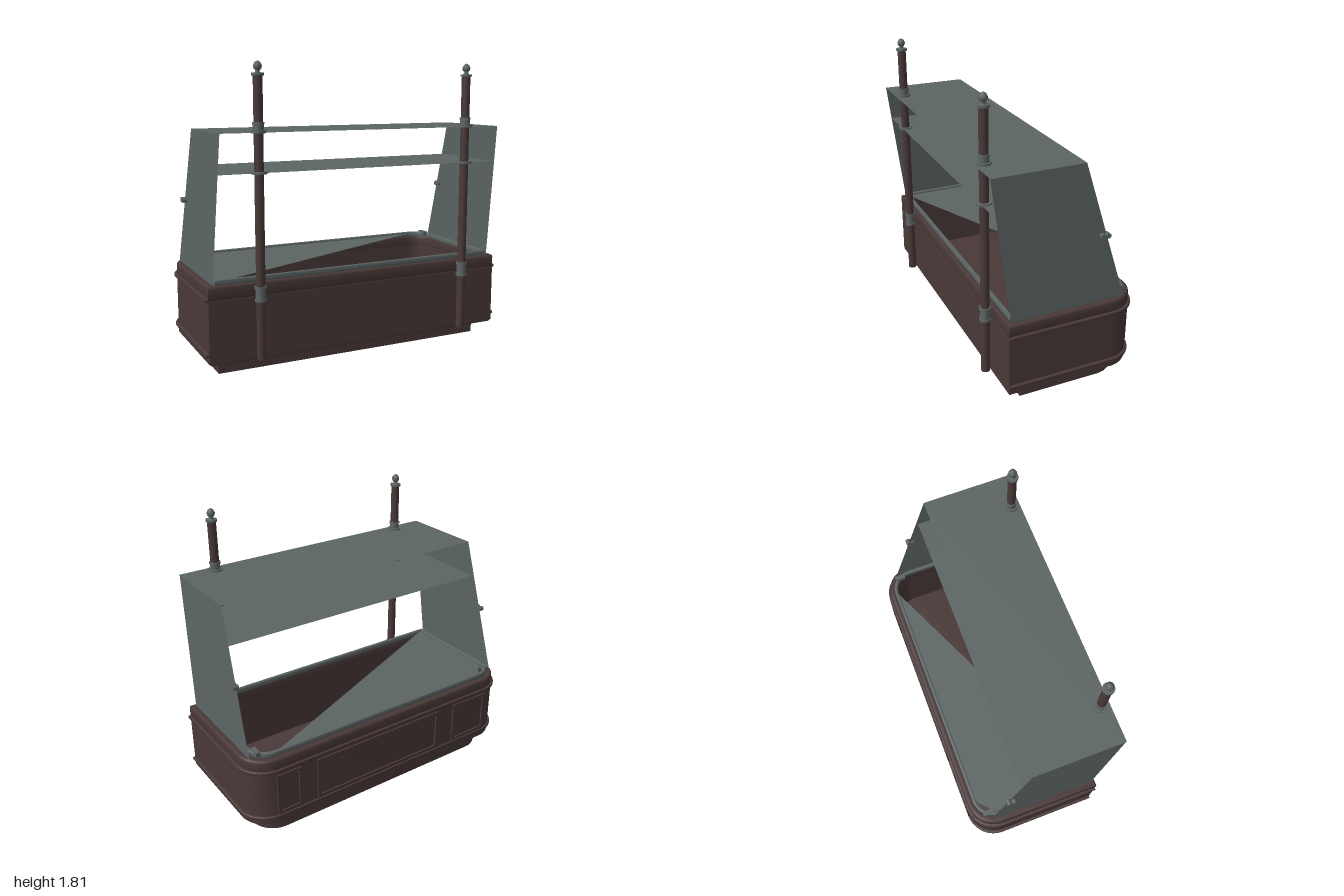
import * as THREE from 'three';
import { toCreasedNormals } from 'three/addons/utils/BufferGeometryUtils.js';

export function createModel() {
  const model = new THREE.Group();
  const brown = new THREE.MeshStandardMaterial({ name: 'dark brown wood', color: 0x493938 });
  const grey = new THREE.MeshStandardMaterial({ name: 'grey metal', color: 0x5c6564, side: THREE.DoubleSide });

  const add = (name, geo, mat, x = 0, y = 0, z = 0) => {
    const m = new THREE.Mesh(geo, mat);
    m.name = name;
    m.position.set(x, y, z);
    model.add(m);
    return m;
  };

  // Plan outline: square front corners, rounded back corners
  const outline = (P, w, zf, zb, r) => {
    const p = new P();
    p.moveTo(-w, -zf);
    p.lineTo(w, -zf);
    p.lineTo(w, -zb - r);
    p.absarc(w - r, -zb - r, r, 0, Math.PI / 2, false);
    p.lineTo(-w + r, -zb);
    p.absarc(-w + r, -zb - r, r, Math.PI / 2, Math.PI, false);
    p.closePath();
    return p;
  };
  const tier = (name, mat, y0, y1, w, zf, zb, r, hole, bevel = 0) => {
    const s = outline(THREE.Shape, w, zf, zb, r);
    if (hole) s.holes.push(outline(THREE.Path, ...hole));
    const geo = new THREE.ExtrudeGeometry(s, {
      depth: y1 - y0 - 2 * bevel, curveSegments: 12, bevelEnabled: bevel > 0,
      bevelSize: bevel, bevelThickness: bevel, bevelOffset: -bevel, bevelSegments: 3,
    });
    geo.rotateX(-Math.PI / 2);
    return add(name, toCreasedNormals(geo, 0.6), mat, 0, y0 + bevel, 0);
  };

  // Hollow counter body, with plinth, floor and mouldings
  const well = [0.925, 0.355, -0.41, 0.13];
  tier('plinth', brown, 0, 0.1, 0.9, 0.28, -0.4, 0.16);
  tier('floor', brown, 0.09, 0.12, 0.975, 0.38, -0.445, 0.17, null, 0.008);
  tier('lowerWall', brown, 0.1, 0.15, 0.983, 0.385, -0.455, 0.18, well);
  tier('mainWall', brown, 0.15, 0.47, 0.983, 0.385, -0.458, 0.18, well);
  tier('topRail', brown, 0.47, 0.555, 0.983, 0.385, -0.455, 0.18, well, 0.015);
  for (const y of [0.14, 0.465])
    tier('bead', brown, y, y + 0.022, 1, 0.38, -0.468, 0.19, well, 0.006);
  tier('innerRim', grey, 0.55, 0.585, 0.935, 0.362, -0.42, 0.14, [0.912, 0.342, -0.398, 0.12], 0.005);

  // Raised frames on the back
  const frames = [[-0.4, 0.55], [-0.82, -0.53], [0.66, 0.83]];
  for (const [x0, x1] of frames) {
    const s = new THREE.Shape();
    s.moveTo(x0, 0.17); s.lineTo(x1, 0.17); s.lineTo(x1, 0.45); s.lineTo(x0, 0.45);
    const h = new THREE.Path(), t = 0.02;
    h.moveTo(x0 + t, 0.17 + t); h.lineTo(x1 - t, 0.17 + t);
    h.lineTo(x1 - t, 0.45 - t); h.lineTo(x0 + t, 0.45 - t);
    s.holes.push(h);
    add('backFrame', new THREE.ExtrudeGeometry(s, { depth: 0.015, bevelEnabled: false }), brown, 0, 0, -0.469);
  }

  // Flat sheet from corner points, fanned from the first corner
  const sheet = (name, pts) => {
    const idx = [];
    for (let i = 1; i < pts.length - 1; i++) idx.push(0, i, i + 1);
    const g = new THREE.BufferGeometry();
    g.setAttribute('position', new THREE.Float32BufferAttribute(pts.flat(), 3));
    g.setIndex(idx);
    g.computeVertexNormals();
    return add(name, g, grey);
  };

  // Shelves and slanted end panels
  const shelf = (name, w, y, zf, zb) =>
    sheet(name, [[-w, y, zf], [w, y, zf], [w, y, zb], [-w, y, zb]]);
  shelf('upperShelf', 0.925, 1.417, 0.47, -0.09);
  shelf('lowerShelf', 0.925, 1.19, 0.44, -0.148);
  sheet('wellCover', [[-0.91, 0.572, 0.35], [0.8, 0.572, -0.405], [-0.8, 0.572, -0.405], [-0.91, 0.572, -0.3]]);
  for (const s of [1, -1]) {
    const p = [[s * 0.948, 0.555, 0.36], [s * 0.948, 0.555, -0.36], [s * 0.922, 1.417, -0.09], [s * 0.922, 1.417, 0.47]];
    sheet('endPanel', s > 0 ? p : p.reverse());
    // Fixing knobs and foot brackets
    for (const z of [-0.2, -0.232]) {
      const k = add('knob', new THREE.CylinderGeometry(0.016, 0.016, 0.035, 12), grey, s * 0.942, 0.97, z);
      k.rotation.z = Math.PI / 2;
    }
    add('footBracket', new THREE.BoxGeometry(0.03, 0.03, 0.07), grey, s * 0.9, 0.58, -0.35);
  }

  // Turned posts with rings and finials
  const ring = (x, y, r, h) =>
    add('postRing', new THREE.CylinderGeometry(r, r, h, 20), grey, x, y, 0.415);
  for (const x of [-0.68, 0.71]) {
    add('lowerPost', new THREE.CylinderGeometry(0.027, 0.027, 0.36, 20), brown, x, 0.28, 0.415);
    add('upperPost', new THREE.CylinderGeometry(0.027, 0.027, 1.3, 20), brown, x, 1.09, 0.415);
    ring(x, 0.49, 0.03, 0.07);
    ring(x, 0.455, 0.035, 0.014);
    ring(x, 0.53, 0.035, 0.014);
    ring(x, 1.19, 0.047, 0.014);
    ring(x, 1.42, 0.044, 0.016);
    ring(x, 1.44, 0.031, 0.04);
    ring(x, 1.467, 0.035, 0.012);
    ring(x, 1.735, 0.035, 0.014);
    const f = [[0.022, 1.74], [0.01, 1.752], [0.022, 1.766], [0.025, 1.782], [0.016, 1.8], [0, 1.81]];
    add('finial', new THREE.LatheGeometry(f.map(a => new THREE.Vector2(...a)), 16), grey, x, 0, 0.415);
  }
  return model;
}
